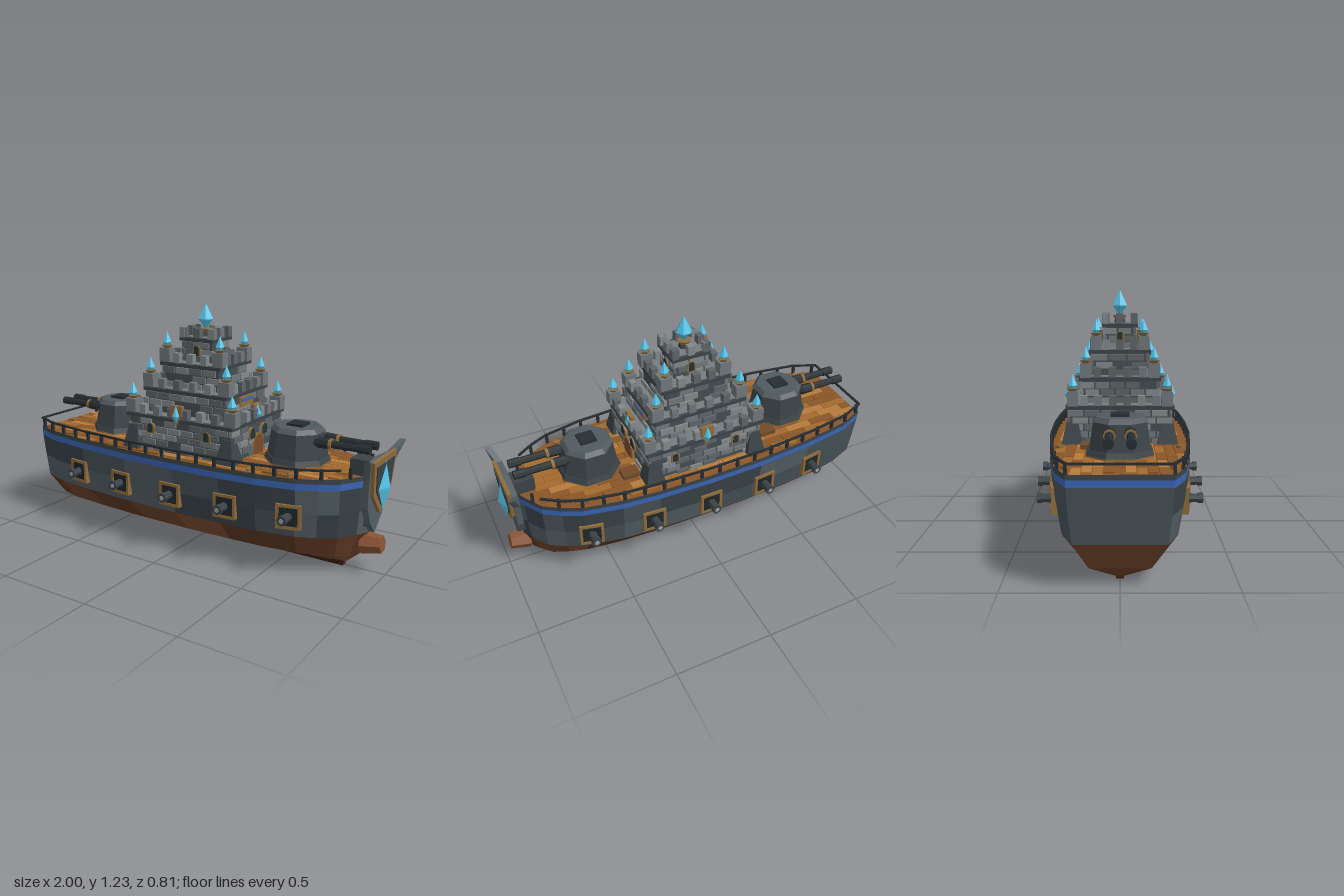
import * as THREE from 'three';
import { mergeGeometries } from 'three/addons/utils/BufferGeometryUtils.js';

const STONE = [0x5d6468, 0x70777b, 0x82888b], STEEL = [0x394348, 0x475257, 0x525d62];
const RUST = [0x5c3722, 0x6c4129, 0x7b4c31], WOOD = [0x8a5527, 0xa3692f, 0xb67a3a];
const DARK = 0x262d31, GUN = 0x3b4347, GOLD = 0x8f6c3c, BLUE = 0x3a66b5, ICE = 0x55c4e8;
const CX = -0.02; // keep centre

const hash = (i, j) => { const s = Math.sin(i * 12.99 + j * 78.23) * 43758.55; return s - Math.floor(s); };
const box = (w, h, d, x, y, z) => new THREE.BoxGeometry(w, h, d).translate(x, y, z);
const rod = (r1, r2, len, n) => new THREE.CylinderGeometry(r1, r2, len, n);

// One flat-shaded mesh from several geometries
function part(parent, name, color, geos) {
  const list = geos.map(g => {
    const n = g.index ? g.toNonIndexed() : g;
    n.deleteAttribute('uv');
    n.computeVertexNormals();
    return n;
  });
  const mesh = new THREE.Mesh(mergeGeometries(list), new THREE.MeshStandardMaterial({ color, flatShading: true }));
  mesh.name = name;
  parent.add(mesh);
  return mesh;
}
// Same, with the geometries sorted into shades
function shaded(parent, name, colors, entries) {
  const g = new THREE.Group();
  g.name = name;
  colors.forEach((c, i) => {
    const list = entries.filter(e => Math.floor(e[0] * colors.length) === i).map(e => e[1]);
    if (list.length) part(g, name + 'Shade' + i, c, list);
  });
  parent.add(g);
}
function quad(a, b, c, d) {
  const g = new THREE.BufferGeometry();
  g.setAttribute('position', new THREE.Float32BufferAttribute([a, b, c, a, c, d].flat(), 3));
  g.setAttribute('normal', new THREE.Float32BufferAttribute(new Array(18).fill(0), 3));
  return g;
}

// Plan outline: position along the hull and share of the full half width
const PLAN = [[0, 0.64], [0.07, 0.8], [0.2, 0.91], [0.36, 0.985], [0.52, 1], [0.66, 0.975], [0.76, 0.93],
  [0.86, 0.82], [0.91, 0.69], [0.953, 0.53], [0.985, 0.24], [1, 0.06]];
// Hull levels: y, stern x, bow x, half width
const LEVELS = [[0.01, -0.84, 0.79, 0.015], [0.08, -0.93, 0.87, 0.205], [0.2, -0.985, 0.905, 0.308],
  [0.32, -0.99, 0.915, 0.33], [0.44, -1, 0.92, 0.343], [0.472, -1, 0.92, 0.345], [0.495, -1, 0.92, 0.345]];
const hullPoint = (l, i, s) => {
  const [y, a, b, w] = LEVELS[l], [t, p] = PLAN[i];
  return [a + (b - a) * t, y, s * w * p];
};
function halfWidth(x) {
  const t = (x + 1) / 1.92;
  for (let i = 1; i < PLAN.length; i++) {
    const [t0, p0] = PLAN[i - 1], [t1, p1] = PLAN[i];
    if (t <= t1) return 0.345 * (p0 + (p1 - p0) * (t - t0) / (t1 - t0));
  }
  return 0;
}

function buildHull(root) {
  const hull = new THREE.Group();
  hull.name = 'hull';
  root.add(hull);
  const bands = { rust: [], steel: [], blue: [], rim: [] };
  const last = PLAN.length - 1;
  for (let l = 0; l < LEVELS.length - 1; l++) {
    const band = l < 2 ? bands.rust : l < 4 ? bands.steel : l === 4 ? bands.blue : bands.rim;
    for (let i = 0; i < last; i++) {
      const [a, b, c, d] = [[l, i], [l, i + 1], [l + 1, i + 1], [l + 1, i]];
      const P = s => [a, b, c, d].map(q => hullPoint(q[0], q[1], s));
      band.push([hash(i, l), quad(...P(1))], [hash(i, l + 9), quad(...P(-1).reverse())]);
    }
    for (const [i, s] of [[0, 1], [last, -1]])
      band.push([0.5, quad(hullPoint(l, i, -s), hullPoint(l, i, s), hullPoint(l + 1, i, s), hullPoint(l + 1, i, -s))]);
  }
  shaded(hull, 'lowerHull', RUST, bands.rust);
  shaded(hull, 'armourPlates', STEEL, bands.steel);
  part(hull, 'stripe', BLUE, bands.blue.map(e => e[1]));
  part(hull, 'rim', GUN, bands.rim.map(e => e[1]));
  part(hull, 'keel', 0x35190f, [box(1.63, 0.024, 0.035, -0.025, 0.012, 0)]);

  // Deck base and planks
  const deck = [];
  for (let i = 0; i < last; i++)
    deck.push(quad(hullPoint(6, i, 1), hullPoint(6, i + 1, 1), hullPoint(6, i + 1, -1), hullPoint(6, i, -1)).translate(0, -0.012, 0));
  part(hull, 'deck', WOOD[0], deck);
  const planks = [], W = 0.046;
  for (let r = -7; r <= 7; r++) {
    for (let k = 0; k < 13; k++) {
      const x = -0.99 + k * 0.146 + (r & 1 ? 0.06 : 0), edge = Math.abs(r * W) + W / 2;
      if (Math.min(halfWidth(x), halfWidth(x + 0.142)) > edge)
        planks.push([hash(r, k), box(0.143, 0.008, W - 0.004, x + 0.0715, 0.486, r * W)]);
    }
  }
  shaded(hull, 'planks', WOOD, planks);

  // Railing
  const rail = [], ring = [];
  for (const s of [1, -1]) {
    const pts = PLAN.slice(0, 10).map((p, i) => hullPoint(6, i, s));
    for (let i = 0; i < pts.length - 1; i++) ring.push([pts[i], pts[i + 1]]);
    for (let x = -0.98; x < 0.86; x += 0.102) rail.push(box(0.014, 0.055, 0.014, x, 0.515, s * (halfWidth(x) - 0.008)));
  }
  ring.push([hullPoint(6, 0, 1), hullPoint(6, 0, -1)]);
  for (const [a, b] of ring) {
    const dx = b[0] - a[0], dz = b[2] - a[2];
    rail.push(box(Math.hypot(dx, dz), 0.01, 0.01, 0, 0, 0).rotateY(-Math.atan2(dz, dx))
      .translate((a[0] + b[0]) / 2, 0.538, (a[2] + b[2]) / 2 * 0.98));
  }
  part(hull, 'railing', DARK, rail);

  // Hatches and cleats
  part(hull, 'deckHatches', 0x6f4a28, [-0.435, 0.355].map(x => box(0.09, 0.025, 0.07, x, 0.5, -0.15)));
  const cleats = [];
  for (const x of [-0.87, -0.44, 0.41, 0.61]) for (const s of [1, -1])
    cleats.push(box(0.028, 0.016, 0.028, 0, 0, 0).rotateY(Math.PI / 4).translate(x, 0.495, s * (halfWidth(x) - 0.045)));
  part(hull, 'cleats', GOLD, cleats);
}

// Gun ports along both sides
function buildBroadside(root) {
  const frames = [], ports = [], barrels = [], bores = [];
  for (const x of [-0.65, -0.337, -0.016, 0.3, 0.62]) for (const s of [1, -1]) {
    const z = halfWidth(x) * 0.96, yaw = Math.atan2(halfWidth(x - 0.05) - halfWidth(x + 0.05), 0.1);
    const place = (g, list) => list.push(g.rotateY(s > 0 ? yaw : Math.PI - yaw).translate(x, 0.305, s * z));
    for (const k of [1, -1]) {
      place(box(0.12, 0.014, 0.03, 0, k * 0.053, 0), frames);
      place(box(0.014, 0.12, 0.03, k * 0.053, 0, 0), frames);
    }
    place(box(0.094, 0.094, 0.02, 0, 0, 0), ports);
    const put = (g, list) => list.push(g.rotateX(Math.PI / 2).rotateY(s > 0 ? 0 : Math.PI).translate(x, 0.305, s * z));
    put(rod(0.019, 0.022, 0.08, 8).translate(0, 0.03, 0), barrels);
    put(rod(0.025, 0.025, 0.022, 8).translate(0, 0.063, 0), barrels);
    put(rod(0.012, 0.012, 0.003, 8).translate(0, 0.075, 0), bores);
  }
  part(root, 'portFrames', GOLD, frames);
  part(root, 'gunPorts', 0x1f2629, ports);
  part(root, 'sideCannons', GUN, barrels);
  part(root, 'cannonBores', 0x9aa0a2, bores);
}

// Deck turret with two barrels facing +x or -x
function buildTurret(root, name, x, dir) {
  const g = new THREE.Group();
  g.name = name;
  const oct = (r1, r2, h, y) => rod(r1, r2, h, 8).rotateY(Math.PI / 8).translate(0, y, 0);
  part(g, 'turretRing', GOLD, [oct(0.162, 0.162, 0.012, 0.497)]);
  part(g, 'turretBody', GUN, [oct(0.155, 0.165, 0.025, 0.512), oct(0.13, 0.15, 0.125, 0.585)]);
  part(g, 'turretRoof', 0x50595e, [oct(0.115, 0.135, 0.022, 0.658)]);
  part(g, 'turretHatch', DARK, [box(0.085, 0.014, 0.085, 0, 0.673, 0)]);
  const tube = (r1, r2, len, at, z) => rod(r1, r2, len, 8).rotateZ(-Math.PI / 2).translate(at, 0.612, z);
  const Z = [0.046, -0.046];
  part(g, 'barrels', DARK, Z.flatMap(z => [tube(0.017, 0.021, 0.27, 0.25, z), tube(0.022, 0.022, 0.06, 0.362, z), tube(0.026, 0.028, 0.06, 0.16, z)]));
  part(g, 'barrelCollars', GOLD, Z.map(z => tube(0.028, 0.028, 0.014, 0.196, z)));
  g.position.x = x;
  g.rotation.y = dir > 0 ? 0 : Math.PI;
  root.add(g);
}

const crystal = (r, h, x, y, z) => mergeGeometries([
  rod(0, r, h * 0.6, 6).translate(0, h * 0.7, 0), rod(r, 0, h * 0.4, 6).translate(0, h * 0.2, 0)])
  .rotateY(Math.PI / 2).translate(x, y, z);
const arch = (w, h) => {
  const s = new THREE.Shape();
  s.moveTo(-w, 0).lineTo(w, 0).lineTo(w, h);
  s.absarc(0, h, w, 0, Math.PI).lineTo(-w, 0);
  return new THREE.ExtrudeGeometry(s, { depth: 0.03, bevelEnabled: false, curveSegments: 4 });
};

// Stepped keep: half width x, half width z, bottom, top
const TIERS = [[0.305, 0.245, 0.48, 0.67], [0.235, 0.185, 0.67, 0.8], [0.165, 0.135, 0.8, 0.93], [0.085, 0.072, 0.93, 1.055]];
function buildKeep(root) {
  const keep = new THREE.Group();
  keep.name = 'keep';
  keep.position.x = CX;
  root.add(keep);
  const core = [], ledges = [], floors = [], bricks = [], merlons = [], cups = [], gems = [];
  TIERS.forEach(([hx, hz, y0, y1], t) => {
    core.push(box(hx * 2, y1 - y0, hz * 2, 0, (y0 + y1) / 2, 0));
    ledges.push(box(hx * 2 + 0.035, 0.018, hz * 2 + 0.035, 0, y1 - 0.005, 0));
    floors.push(box(hx * 2, 0.004, hz * 2, 0, y1 + 0.005, 0));
    const rows = Math.round((y1 - y0 - 0.015) / 0.037), rh = (y1 - y0 - 0.015) / rows;
    for (let f = 0; f < 4; f++) {
      const [half, dist] = f % 2 ? [hz, hx] : [hx, hz], turn = f * Math.PI / 2;
      const n = Math.round(half * 2 / 0.078), bw = half * 2 / n;
      for (let r = 0; r < rows; r++) for (let k = 0; k < n; k++) {
        if (hash(r + f * 5, k + t * 7) < 0.2) continue;
        const u = -half + bw * (k + 0.5) + (r % 2 ? 0.012 : -0.012);
        bricks.push([hash(k + f, r + t), box(bw - 0.008, rh - 0.007, 0.016, u, y0 + rh * (r + 0.5), dist + 0.002).rotateY(turn)]);
      }
      const m = [8, 6, 5, 3][t];
      for (let k = 0; k < m; k++) {
        const inner = t < 3 && (k === 0 || k === m - 1);
        if (!inner) merlons.push([hash(k + f * 3, t), box(0.037, 0.052, 0.032, -half + 2 * half * k / (m - 1), y1 + 0.028, dist).rotateY(turn)]);
      }
    }
    if (t < 3) for (const sx of [1, -1]) for (const sz of [1, -1]) {
      const x = sx * (hx - 0.005), z = sz * (hz - 0.018);
      merlons.push([0.5, box(0.062, 0.07, 0.052, x, y1 + 0.038, z)]);
      cups.push(rod(0.028, 0.018, 0.016, 6).translate(x, y1 + 0.079, z));
      gems.push(crystal(0.024, 0.09, x, y1 + 0.066, z).scale(1, 1, 1));
    }
  });
  part(keep, 'keepWalls', 0x454d51, core);
  part(keep, 'ledges', GUN, ledges);
  part(keep, 'terraces', 0x777d80, floors);
  shaded(keep, 'bricks', STONE, bricks);
  shaded(keep, 'battlements', STONE, merlons);

  // Sloped corner buttresses
  const butt = [];
  for (const sx of [1, -1]) for (const sz of [1, -1])
    butt.push(rod(0.035, 0.075, 0.13, 4).rotateY(Math.PI / 4).translate(sx * 0.285, 0.545, sz * 0.23));
  part(keep, 'buttresses', GUN, butt);

  // Windows, end doors, shields and banner
  const frames = [], glass = [], doors = [];
  const opening = (w, h, u, y, dist, f, inner) => {
    const turn = g => g.rotateY(f * Math.PI / 2);
    frames.push(turn(arch(w + 0.009, h).translate(u, y - 0.006, dist - 0.015)));
    inner.push(turn(arch(w, h).translate(u, y, dist - 0.012)));
  };
  for (const f of [0, 2]) for (const u of [-0.17, 0.17]) opening(0.015, 0.03, u, 0.585, 0.245, f, glass);
  for (const f of [1, 3]) {
    for (const u of [-0.06, 0.06]) opening(0.022, 0.03, u, 0.58, 0.305, f, glass);
    opening(0.042, 0.06, 0, 0.488, 0.305, f, doors);
    opening(0.014, 0.035, 0, 0.97, 0.085, f, glass);
  }
  for (const f of [0, 2]) opening(0.014, 0.035, 0, 0.97, 0.072, f, glass);
  part(keep, 'windowPanes', 0x20343c, glass);
  part(keep, 'doors', 0x7a4a26, doors);
  const s = new THREE.Shape([[-0.035, 0.05], [0.035, 0.05], [0.035, 0], [0, -0.05], [-0.035, 0]].map(p => new THREE.Vector2(...p)));
  for (const f of [0, 1, 2]) {
    const d = f % 2 ? 0.29 : 0.25;
    frames.push(new THREE.ExtrudeGeometry(s, { depth: 0.02, bevelEnabled: false }).translate(0, 0.695, d).rotateY(f * Math.PI / 2));
    gems.push(crystal(0.02, 0.095, 0, 0.655, d + 0.02).rotateY(f * Math.PI / 2));
  }
  frames.push(box(0.02, 0.05, 0.13, 0.24, 0.755, 0));
  part(keep, 'goldTrim', GOLD, frames.concat(cups, [rod(0.035, 0.02, 0.03, 6).translate(0, 1.085, 0)]));
  part(keep, 'banner', BLUE, [box(0.012, 0.014, 0.11, 0.25, 0.763, 0)]);
  part(keep, 'spireBase', GUN, [rod(0.022, 0.032, 0.04, 6).translate(0, 1.07, 0)]);
  part(keep, 'crystals', ICE, gems);
  part(keep, 'topCrystal', ICE, [crystal(0.042, 0.135, 0, 1.095, 0)]);
}

// Prow plate, shield, crystal and ram
function buildProw(root) {
  const prow = new THREE.Group();
  prow.name = 'prow';
  root.add(prow);
  const plate = (half, depth, x) => {
    const pts = half.concat(half.filter(p => p[0] > 0).reverse().map(p => [-p[0], p[1]]));
    const g = new THREE.ExtrudeGeometry(new THREE.Shape(pts.map(p => new THREE.Vector2(...p))), { depth, bevelEnabled: false });
    g.rotateY(Math.PI / 2).translate(x, 0, 0);
    // wings sweep forward and the plate leans slightly outward to the top
    const a = g.attributes.position;
    for (let i = 0; i < a.count; i++)
      a.setX(i, a.getX(i) + 0.35 * Math.max(0, Math.abs(a.getZ(i)) - 0.14) + 0.05 * (a.getY(i) - 0.4));
    return g;
  };
  part(prow, 'prowPlate', 0x566166, [plate([[0, 0.2], [0.07, 0.27], [0.125, 0.36], [0.145, 0.5], [0.225, 0.615], [0.14, 0.565], [0, 0.58]], 0.03, 0.915)]);
  part(prow, 'prowBlock', GUN, [box(0.12, 0.32, 0.09, 0.875, 0.4, 0)]);
  part(prow, 'prowShield', GOLD, [plate([[0, 0.305], [0.115, 0.42], [0.14, 0.585], [0, 0.585]], 0.018, 0.945)]);
  part(prow, 'shieldFace', GUN, [plate([[0, 0.34], [0.09, 0.435], [0.11, 0.558], [0, 0.558]], 0.008, 0.96)]);
  part(prow, 'prowCrystal', ICE, [mergeGeometries([
    rod(0, 0.071, 0.135, 4).translate(0, 0.5075, 0), rod(0.071, 0, 0.12, 4).translate(0, 0.38, 0)]).scale(0.42, 1, 1).translate(0.97, 0, 0)]);
  part(prow, 'ram', 0x8a5436, [rod(0.042, 0.058, 0.1, 6).rotateZ(-Math.PI / 2 + 0.1).translate(0.93, 0.145, 0)]);
}

export function createModel() {
  const root = new THREE.Group();
  root.name = 'fortressShip';
  buildHull(root);
  buildBroadside(root);
  buildTurret(root, 'sternTurret', -0.59, -1);
  buildTurret(root, 'bowTurret', 0.52, 1);
  buildKeep(root);
  buildProw(root);
  return root;
}
